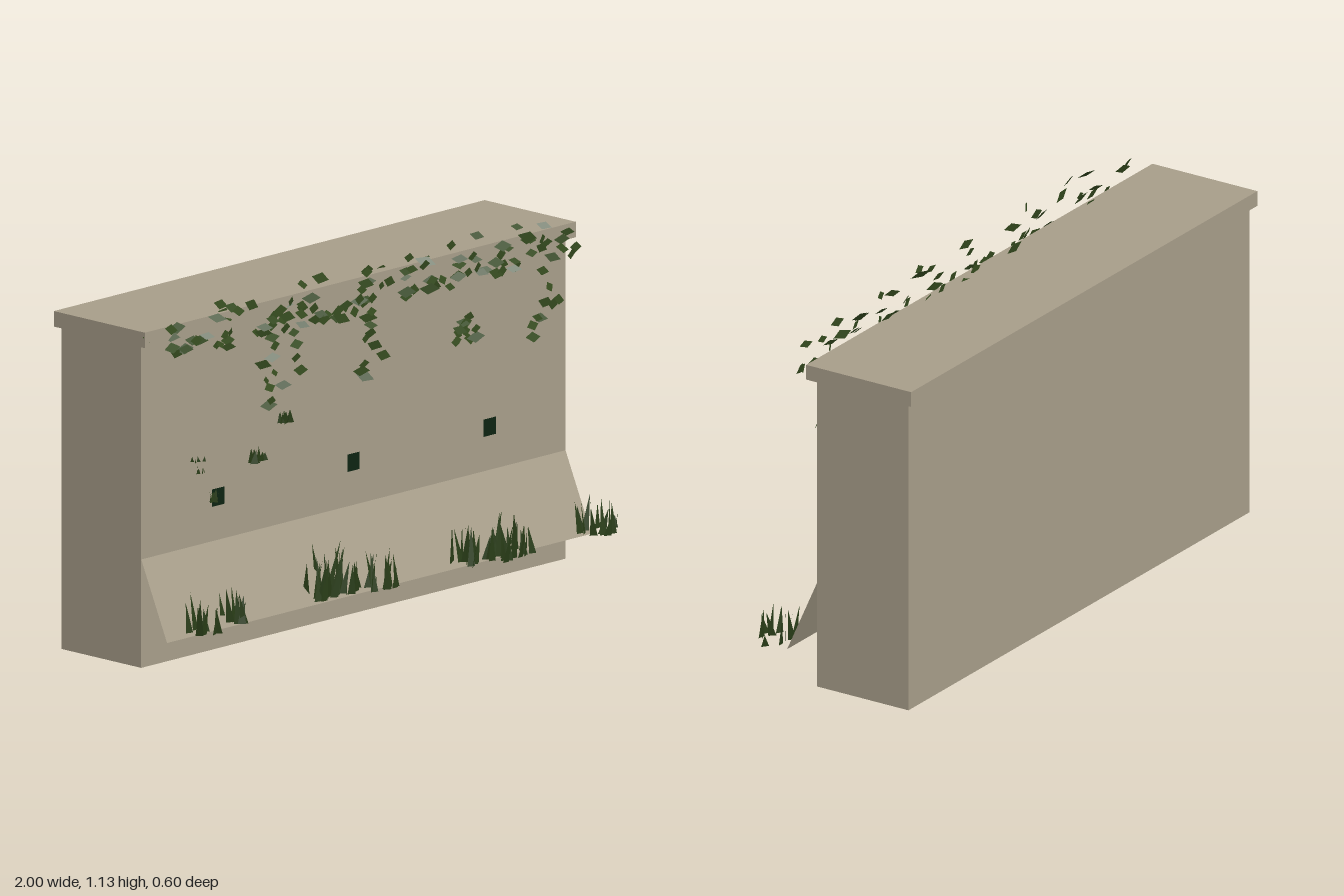
import * as THREE from 'three';
import { mergeGeometries } from 'three/addons/utils/BufferGeometryUtils.js';

// Small seeded random generator
let seed = 7;
const rand = (a = 0, b = 1) => {
  seed = (seed * 16807) % 2147483647;
  return a + (b - a) * (seed / 2147483647);
};

const stone = new THREE.MeshStandardMaterial({ color: 0xa89e8a });
const stoneSheet = new THREE.MeshStandardMaterial({ color: 0xa89e8a, side: THREE.DoubleSide });
const ivyGreen = new THREE.MeshStandardMaterial({ color: 0x344a1e, side: THREE.DoubleSide });
const grassGreen = new THREE.MeshStandardMaterial({ color: 0x293d17, side: THREE.DoubleSide });
const drainDark = new THREE.MeshStandardMaterial({ color: 0x0d2412 });
stone.name = 'stone';
stoneSheet.name = 'stoneSheet';
ivyGreen.name = 'ivyGreen';
grassGreen.name = 'grassGreen';
drainDark.name = 'drainDark';

// Flat polygon as a triangle fan
function polygon(points) {
  const pos = [];
  for (let i = 1; i < points.length - 1; i++) pos.push(...points[0], ...points[i], ...points[i + 1]);
  const g = new THREE.BufferGeometry();
  g.setAttribute('position', new THREE.Float32BufferAttribute(pos, 3));
  g.computeVertexNormals();
  return g;
}

// Skewed diamond leaf, tilted a little towards the sky
function leaf(x, y, z) {
  const s = rand(0.75, 1.1);
  const g = polygon([[-0.032, 0.006, 0], [-0.008, -0.016, 0], [0.032, -0.005, 0], [0.008, 0.017, 0]]);
  g.scale(s, s, s);
  g.rotateZ(rand(-0.25, 0.25));
  g.rotateX(rand(-0.75, 0.15));
  g.rotateY(rand(-0.5, 0.5));
  return g.translate(x, y, z);
}

// Tuft of pointed blades spread over a small patch
function tuft(x, y, z, spreadX, spreadZ, height, count, width = 0.013) {
  const blades = [];
  for (let i = 0; i < count; i++) {
    const bx = x + rand(-spreadX, spreadX), bz = z + rand(-spreadZ, spreadZ);
    const a = rand(-0.9, 0.9), h = height * rand(0.5, 1);
    const dx = Math.cos(a) * width, dz = Math.sin(a) * width;
    blades.push(polygon([
      [bx - dx, y, bz - dz], [bx + dx, y, bz + dz],
      [bx + rand(-0.2, 0.25) * h, y + h, bz + rand(-0.15, 0.15) * h],
    ]));
  }
  return blades;
}

export function createModel() {
  seed = 7;
  const group = new THREE.Group();
  const add = (name, geometry, material) => {
    const mesh = new THREE.Mesh(geometry, material);
    mesh.name = name;
    group.add(mesh);
    return mesh;
  };
  const box = (name, x0, x1, y0, y1, z0, z1) =>
    add(name, new THREE.BoxGeometry(x1 - x0, y1 - y0, z1 - z0), stone)
      .position.set((x0 + x1) / 2, (y0 + y1) / 2, (z0 + z1) / 2);

  // Wall body and overhanging coping
  box('wall', -0.985, 0.93, 0, 1.04, -0.285, 0.06);
  box('coping', -1, 0.945, 1.04, 1.09, -0.305, 0.09);

  // Thin sloping apron along the foot of the front
  add('apron', polygon([[-0.985, 0.1, 0.172], [0.93, 0.1, 0.172], [0.93, 0.35, 0.06], [-0.985, 0.35, 0.06]]), stoneSheet);

  // Square drain openings
  for (const x of [-0.64, -0.03, 0.585]) {
    add('drain', new THREE.PlaneGeometry(0.056, 0.056), drainDark).position.set(x, 0.49, 0.063);
  }

  // Ivy draped over the front edge of the coping
  const leaves = [];
  for (let i = 0; i < 125; i++) {
    const x = -0.96 + 1.84 * ((i + rand(-1, 1)) / 125);
    const t = rand();
    if (t < 0.5) leaves.push(leaf(x, rand(1.0, 1.05), rand(0.1, 0.18)));
    else leaves.push(leaf(x, rand(1.05, 1.12), rand(0.05, 0.2)));
  }
  // Hanging strands: x, lowest y, highest y, leaf count
  const strands = [
    [-0.44, 0.75, 0.97, 9], [-0.36, 0.81, 0.98, 5], [0.01, 0.76, 0.98, 10],
    [0.4, 0.8, 0.86, 5], [0.45, 0.8, 0.87, 6], [0.73, 0.79, 0.82, 2], [0.79, 0.75, 0.97, 5], [0.84, 0.84, 0.86, 2],
  ];
  for (const [x, y0, y1, n] of strands) {
    for (let i = 0; i < n; i++) {
      leaves.push(leaf(x + rand(-0.03, 0.03), y0 + ((y1 - y0) * i) / (n - 1), rand(0.075, 0.13)));
    }
  }
  add('ivy', mergeGeometries(leaves), ivyGreen);

  // Small plants rooted in the wall face
  const wallPlants = [
    ...tuft(-0.49, 0.58, 0.09, 0.03, 0.014, 0.05, 12),
    ...tuft(-0.68, 0.485, 0.08, 0.015, 0.01, 0.045, 8),
    ...tuft(-0.36, 0.68, 0.083, 0.016, 0.01, 0.045, 8),
    ...tuft(-0.745, 0.59, 0.09, 0.016, 0.012, 0.03, 4, 0.008),
    ...tuft(-0.765, 0.63, 0.09, 0.02, 0.015, 0.02, 4, 0.006),
  ];
  add('wallPlants', mergeGeometries(wallPlants), grassGreen);

  // Grass along the foot: x, z, half spread in x and z, height, blade count
  const clumps = [
    [-0.87, 0.21, 0.035, 0.055, 0.13, 11], [-0.7, 0.19, 0.035, 0.035, 0.12, 10],
    [-0.31, 0.18, 0.03, 0.04, 0.14, 10], [-0.22, 0.17, 0.04, 0.05, 0.175, 16],
    [-0.09, 0.21, 0.07, 0.045, 0.14, 15], [0.34, 0.21, 0.045, 0.05, 0.13, 11],
    [0.43, 0.24, 0.03, 0.04, 0.12, 8], [0.53, 0.22, 0.06, 0.06, 0.15, 18],
    [0.9, 0.22, 0.045, 0.055, 0.12, 13], [0.985, 0.22, 0.002, 0.02, 0.07, 2],
  ];
  const grass = clumps.flatMap(([x, z, sx, sz, h, n]) => tuft(x, 0.118, z, sx, sz, h, n));
  add('grass', mergeGeometries(grass), grassGreen);

  return group;
}
